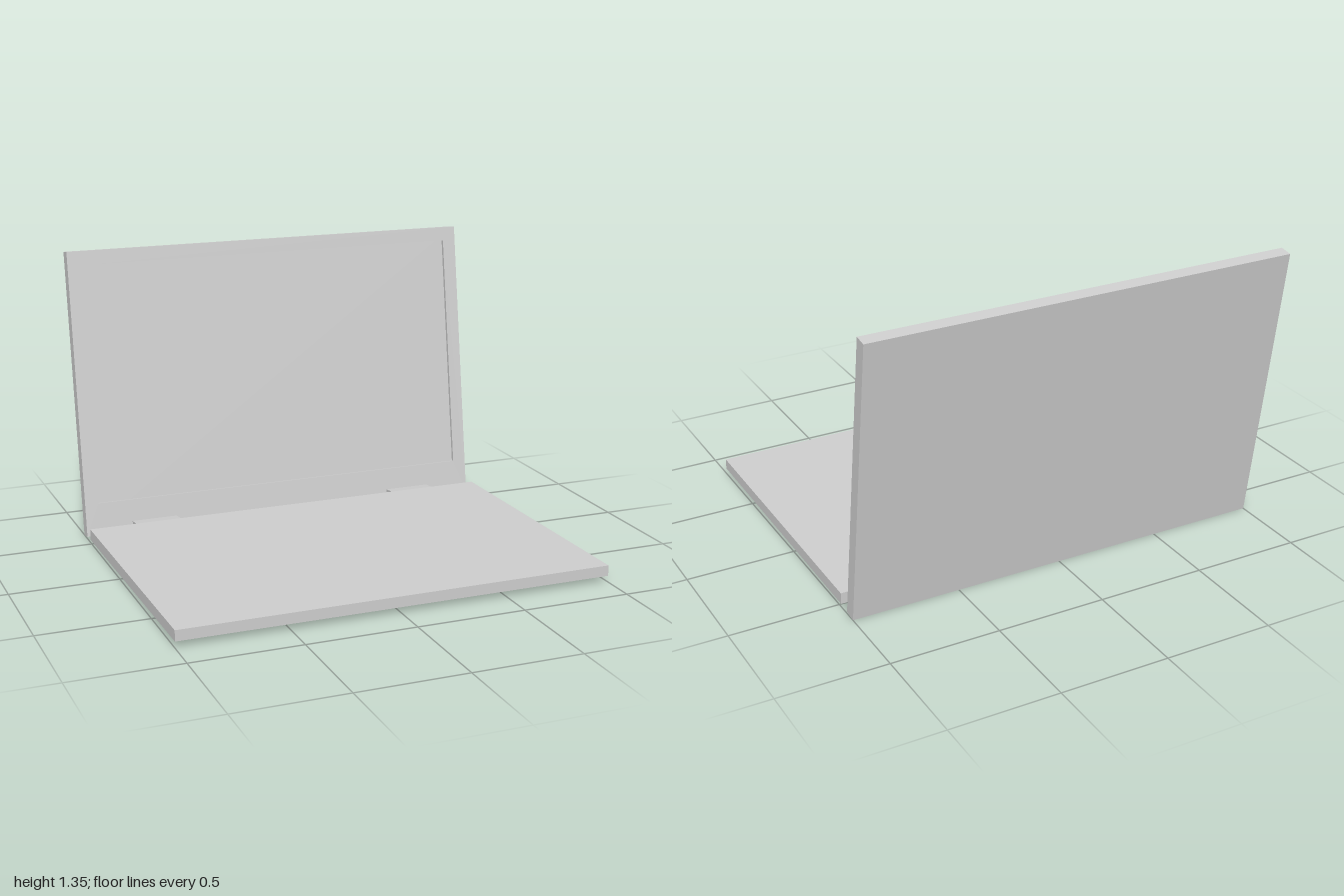
import * as THREE from 'three';

const material = new THREE.MeshStandardMaterial({ color: 0xcccccc, flatShading: true });

function addMesh(parent, geometry, name) {
  const mesh = new THREE.Mesh(geometry, material);
  mesh.name = name;
  parent.add(mesh);
  return mesh;
}

// Side profile of [z, y] points, extruded along x from x0 to x1
function prism(profile, x0, x1) {
  const shape = new THREE.Shape(profile.map(([z, y]) => new THREE.Vector2(z, y)));
  return new THREE.ExtrudeGeometry(shape, { depth: x1 - x0, bevelEnabled: false })
    .rotateY(-Math.PI / 2)
    .translate(x1, 0, 0);
}

function rectangle(Type, x0, y0, x1, y1) {
  return new Type([
    new THREE.Vector2(x0, y0), new THREE.Vector2(x1, y0),
    new THREE.Vector2(x1, y1), new THREE.Vector2(x0, y1),
  ]);
}

export function createModel() {
  const model = new THREE.Group();
  model.name = 'laptop';

  // Keyboard base, a slab tilted slightly down towards the hinge
  addMesh(model, prism([[0.84, 0.029], [0.84, 0.078], [-0.52, 0.066], [-0.52, 0.014]], -1, 1), 'base');

  // Hinge tabs joining the base to the lid
  const tab = [[-0.515, 0.014], [-0.515, 0.066], [-0.587, 0.058], [-0.582, 0.013]];
  for (const [x0, x1, name] of [[0.555, 0.775, 'leftHinge'], [-0.775, -0.555, 'rightHinge']]) {
    addMesh(model, prism(tab, x0, x1), name);
  }

  // Lid: local origin is its lower front edge, leaning back
  const lid = new THREE.Group();
  lid.name = 'lid';
  lid.position.set(0, 0.009, -0.58);
  lid.rotation.x = -Math.atan(0.15);
  model.add(lid);

  const height = 1.352, thickness = 0.06, recess = 0.016;

  // Bezel frame around the recessed screen
  const frame = rectangle(THREE.Shape, -1, 0, 1, height);
  frame.holes.push(rectangle(THREE.Path, -0.935, 0.154, 0.935, 1.285));
  addMesh(lid, new THREE.ExtrudeGeometry(frame, { depth: recess, bevelEnabled: false })
    .translate(0, 0, -recess), 'bezel');

  // Back shell, whose front face is the screen surface
  const depth = thickness - recess;
  addMesh(lid, new THREE.BoxGeometry(2, height, depth)
    .translate(0, height / 2, -recess - depth / 2), 'screenBack');

  return model;
}
